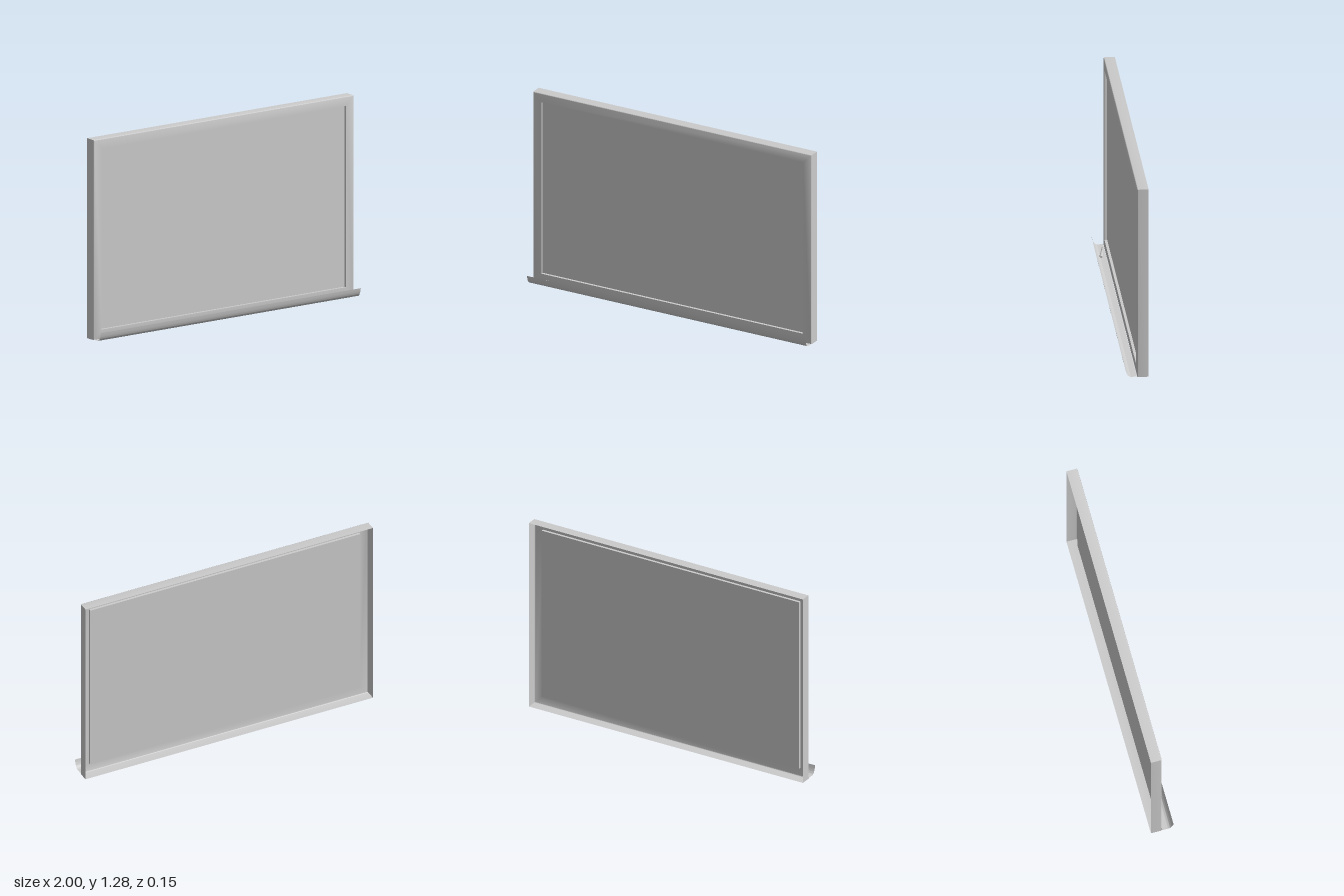
import * as THREE from 'three';
import { toCreasedNormals } from 'three/addons/utils/BufferGeometryUtils.js';

const HEIGHT = 1.28, FRONT = -0.002, BACK = -0.073, LIP = 0.06, PANEL_Z = -0.019;

const sheet = new THREE.MeshStandardMaterial({ color: 0xcccccc, side: THREE.DoubleSide });

function addMesh(parent, name, geometry) {
  const mesh = new THREE.Mesh(geometry, sheet);
  mesh.name = name;
  parent.add(mesh);
  return mesh;
}

// Joins equal-length rows of points into a sheet; closed rows wrap around.
function loft(rows, closed) {
  const n = rows[0].length, index = [];
  for (let r = 0; r < rows.length - 1; r++) {
    for (let i = 0; i < (closed ? n : n - 1); i++) {
      const a = r * n + i, b = r * n + (i + 1) % n;
      index.push(a, b, b + n, a, b + n, a + n);
    }
  }
  const g = new THREE.BufferGeometry();
  g.setAttribute('position', new THREE.Float32BufferAttribute(rows.flat(2), 3));
  g.setIndex(index);
  return toCreasedNormals(g, 0.7);
}

// Rectangle inset from the outer edge of the board, counter-clockwise from the front.
function rectangle(inset, z) {
  const x = 1 - inset, bottom = inset, top = HEIGHT - inset;
  return [[-x, bottom, z], [x, bottom, z], [x, top, z], [-x, top, z]];
}

export function createModel() {
  const group = new THREE.Group();
  group.name = 'whiteboard';

  // Open-backed frame: side wall, rounded front edge, front face and inner return
  const radius = 0.007, profile = [[0, BACK]];
  for (let i = 0; i <= 4; i++) {
    const a = i / 4 * Math.PI / 2;
    profile.push([radius * (1 - Math.cos(a)), FRONT - radius * (1 - Math.sin(a))]);
  }
  profile.push([LIP, FRONT], [LIP, PANEL_Z]);
  addMesh(group, 'frame', loft(profile.map(([inset, z]) => rectangle(inset, z)), true));

  // Recessed writing surface
  const surface = addMesh(group, 'writingSurface', new THREE.PlaneGeometry(2 - 2 * LIP, HEIGHT - 2 * LIP));
  surface.position.set(0, HEIGHT / 2, PANEL_Z);

  // Thin curled tray along the bottom edge
  const lip = new THREE.CubicBezierCurve3(
    new THREE.Vector3(0, 0.004, 0.036), new THREE.Vector3(0, 0.004, 0.056),
    new THREE.Vector3(0, 0.024, 0.066), new THREE.Vector3(0, 0.06, 0.073));
  const section = [[0, FRONT], [0.004, FRONT + 0.003], ...lip.getPoints(12).map(p => [p.y, p.z])];
  addMesh(group, 'tray', loft(section.map(([y, z]) => [[-1, y, z], [1, y, z]]), false));

  // Marker pen lying in the tray
  const pen = new THREE.Group();
  pen.name = 'marker';
  const turn = pts => new THREE.LatheGeometry(pts.map(([r, y]) => new THREE.Vector2(r, y)), 20);
  addMesh(pen, 'markerBody', toCreasedNormals(turn(
    [[0, -0.068], [0.007, -0.068], [0.009, -0.064], [0.009, 0.024]]), 0.6));
  addMesh(pen, 'markerCap', toCreasedNormals(turn(
    [[0.009, 0.022], [0.011, 0.022], [0.010, 0.060], [0.007, 0.068], [0, 0.068]]), 0.6));
  pen.rotation.set(0, -0.19, -Math.PI / 2, 'YXZ');
  pen.position.set(-0.837, 0.022, 0.024);
  group.add(pen);

  return group;
}
